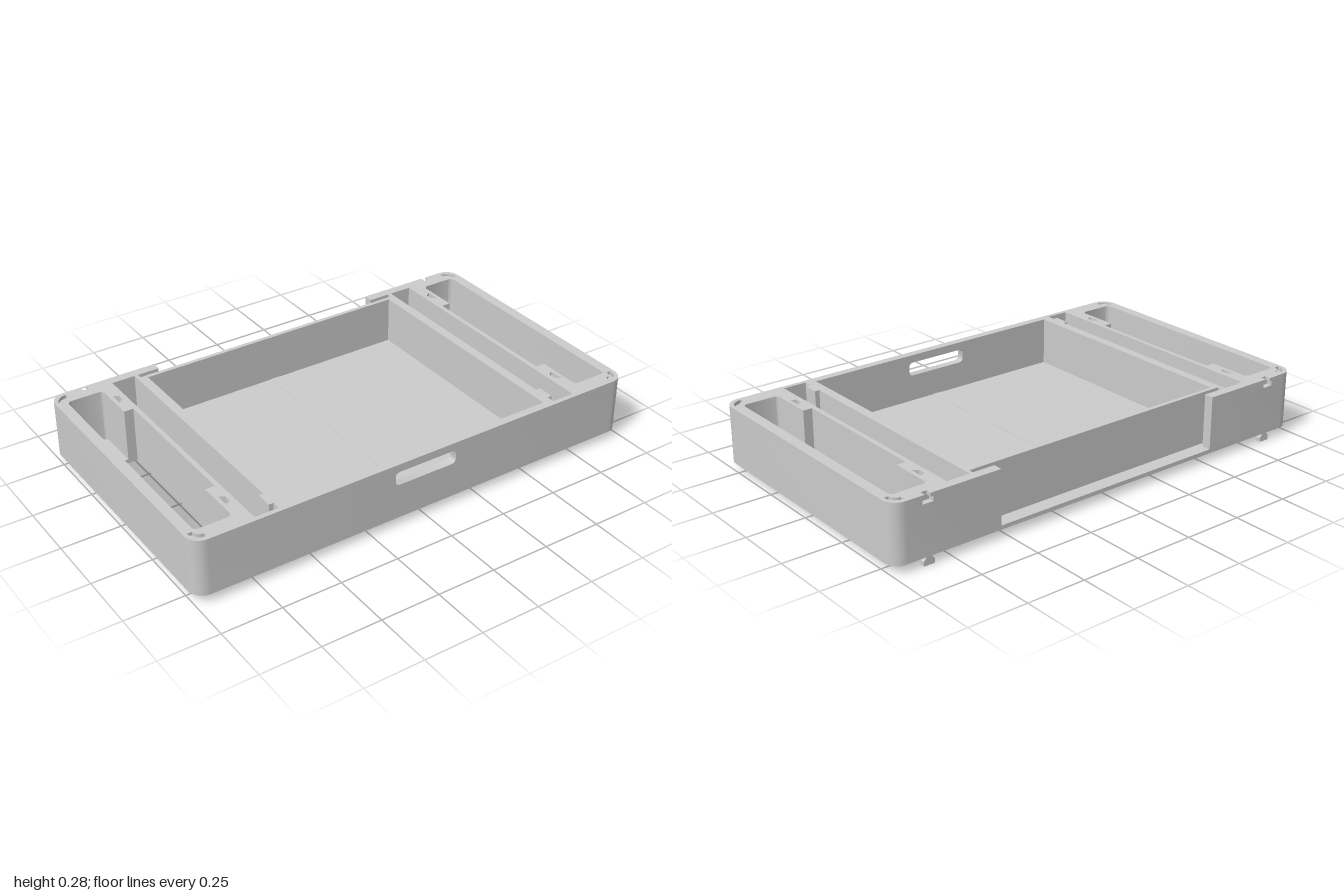
import * as THREE from 'three';
import { toCreasedNormals } from 'three/addons/utils/BufferGeometryUtils.js';

// Closed path through [x, z, cornerRadius] points
function roundedPath(points, Type = THREE.Path) {
  const path = new Type();
  const n = points.length;
  const K = 0.5523;
  points.forEach(([x, z, r = 0], i) => {
    const toward = ([px, pz], d) => {
      const len = Math.hypot(px - x, pz - z);
      return [x + ((px - x) * d) / len, z + ((pz - z) * d) / len];
    };
    const prev = points[(i + n - 1) % n], next = points[(i + 1) % n];
    const a = toward(prev, r);
    if (i === 0) path.moveTo(...a); else path.lineTo(...a);
    if (r > 0) {
      path.bezierCurveTo(...toward(prev, r * (1 - K)), ...toward(next, r * (1 - K)), ...toward(next, r));
    }
  });
  path.closePath();
  return path;
}

const mirror = (points, s) => points.map(([x, z, r]) => [x * s, z, r]);
const rect = (x0, x1, z0, z1, r = 0) => [[x0, z0, r], [x1, z0, r], [x1, z1, r], [x0, z1, r]];

// Curved bar following a rounded corner
function cornerBar(sx, sz, Type = THREE.Path) {
  const pts = [];
  for (let i = 0; i <= 10; i++) pts.push([0.05, i * 9]);
  for (let i = 10; i >= 0; i--) pts.push([0.03, i * 9]);
  return roundedPath(pts.map(([r, deg]) => {
    const a = THREE.MathUtils.degToRad(deg);
    return [sx * (0.935 + r * Math.cos(a)), sz * (0.512 + r * Math.sin(a))];
  }), Type);
}

export function createModel() {
  const group = new THREE.Group();
  const grey = new THREE.MeshStandardMaterial({ color: 0xcbcbcb });
  grey.name = 'plain grey';

  const add = (name, geometry) => {
    const mesh = new THREE.Mesh(toCreasedNormals(geometry, 0.5), grey);
    mesh.name = name;
    group.add(mesh);
  };
  // Horizontal slab between two heights; outlines run anticlockwise so holes turn the right way
  const slab = (name, shape, y0, y1, holes = []) => {
    shape.holes = holes;
    const g = new THREE.ExtrudeGeometry(shape, { depth: y1 - y0, bevelEnabled: false, curveSegments: 10 });
    g.rotateX(Math.PI / 2).translate(0, y1, 0);
    add(name, g);
  };

  // Base plate with side openings and two recesses under the tray, split by a centre bar
  const baseHoles = [1, -1].flatMap((s) => [
    rect(0.76, 0.955, -0.32, 0.315),
    rect(0.02, 0.55, -0.5, 0.46),
  ].map((p) => roundedPath(mirror(p, s))));
  slab('basePlate', roundedPath(rect(-1, 1, -0.58, 0.58, 0.06), THREE.Shape), 0.033, 0.05, baseHoles);
  // Raised tray floor and the lap joint along its middle
  slab('trayFloor', roundedPath(rect(-0.6, 0.6, -0.5, 0.545), THREE.Shape), 0.05, 0.07);
  slab('floorLapJoint', roundedPath(rect(-0.02, 0.02, -0.5, 0.545), THREE.Shape), 0.07, 0.0715);

  // Walls: outline runs round the outside, then in through the front gap and round the tray
  const wallShape = (notch) => {
    const half = [[0.2, 0.58], [1, 0.58, 0.06], [1, -0.58, 0.06]];
    if (notch) {
      half.push([0.85 + notch, -0.58], [0.85 + notch, -0.555], [0.85 - notch, -0.555], [0.85 - notch, -0.58]);
    }
    half.push([0.53, -0.58], [0.53, -0.54], [0.625, -0.54], [0.625, -0.518]);
    const tray = [[-0.2, 0.545], [-0.6, 0.545], [-0.6, -0.5], [0.6, -0.5], [0.6, 0.545], [0.2, 0.545]];
    return roundedPath([...half, ...mirror(half, -1).reverse(), ...tray].reverse(), THREE.Shape);
  };
  const pocket = [
    [0.955, 0.508, 0.02], [0.8, 0.508, 0.02], [0.8, 0.315], [0.76, 0.315],
    [0.76, -0.32], [0.8, -0.32], [0.8, -0.507, 0.02], [0.955, -0.507, 0.02],
  ];
  const channel = [
    [0.64, -0.54], [0.74, -0.54], [0.74, 0.56], [0.64, 0.56],
    [0.64, 0.525], [0.66, 0.525], [0.66, 0.455], [0.64, 0.455],
  ];
  const socket = (z) => [[0.762, z - 0.016], [0.784, z - 0.03], [0.784, z + 0.03], [0.762, z + 0.016]];

  const wallHoles = (sockets, corners) => [1, -1].flatMap((s) => {
    const outlines = [pocket, channel];
    if (sockets) outlines.push(socket(0.41), socket(-0.42));
    const holes = outlines.map((p) => roundedPath(mirror(p, s)));
    if (corners) holes.push(cornerBar(s, 1), cornerBar(s, -1));
    return holes;
  });
  slab('lowerWalls', wallShape(0), 0.05, 0.24, wallHoles(false, false));
  slab('upperWalls', wallShape(0.023), 0.24, 0.26, wallHoles(true, false));
  slab('rim', wallShape(0.012), 0.26, 0.275, wallHoles(true, true));

  // Front panel with the handle slot
  const panel = roundedPath(rect(-0.2, 0.2, 0.05, 0.275), THREE.Shape);
  panel.holes = [roundedPath(rect(-0.141, 0.141, 0.183, 0.241, 0.018))];
  const panelGeometry = new THREE.ExtrudeGeometry(panel, { depth: 0.035, bevelEnabled: false, curveSegments: 10 });
  add('frontHandlePanel', panelGeometry.translate(0, 0, 0.545));

  // Curved corner feet and rear locking tabs
  for (const s of [1, -1]) {
    for (const sz of [1, -1]) slab('cornerFoot', cornerBar(s, sz, THREE.Shape), 0.02, 0.033);
    const tab = roundedPath([
      [-0.011, 0.034], [-0.023, 0.018], [-0.023, 0], [0.023, 0], [0.023, 0.018], [0.011, 0.034],
    ], THREE.Shape);
    const g = new THREE.ExtrudeGeometry(tab, { depth: 0.023, bevelEnabled: false });
    add('rearLockingTab', g.translate(0.85 * s, 0, -0.58));
  }
  return group;
}
